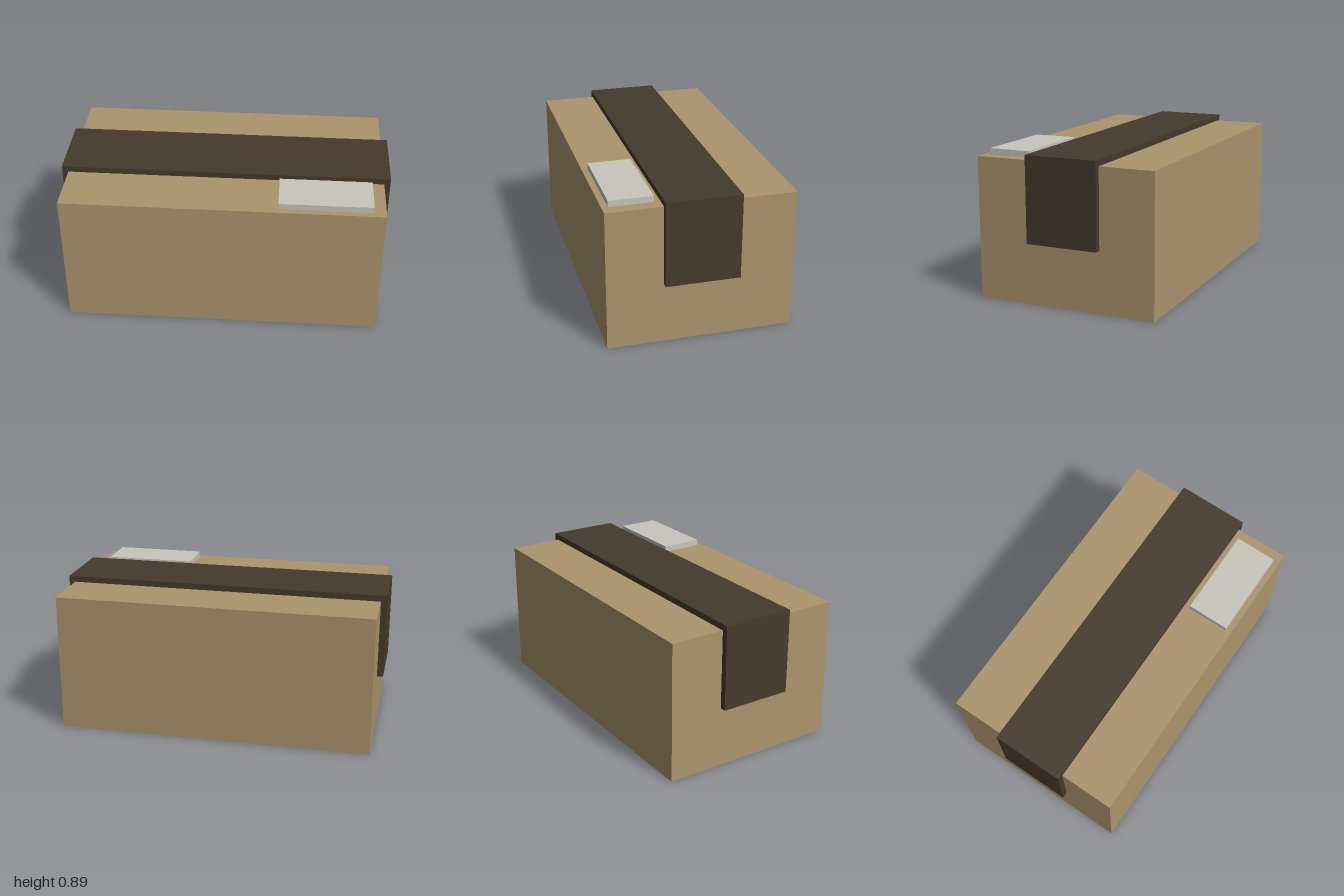
import * as THREE from 'three';

const mat = (name, color) => {
  const m = new THREE.MeshStandardMaterial({ color });
  m.name = name;
  return m;
};

export function createModel() {
  const model = new THREE.Group();
  model.name = 'parcel';
  const add = (name, geometry, material, x, y, z) => {
    const mesh = new THREE.Mesh(geometry, material);
    mesh.name = name;
    mesh.position.set(x, y, z);
    model.add(mesh);
  };

  const W = 0.963, H = 0.852, D = 0.556; // carton half width, height, half depth
  const T = 0.037;                       // thickness of tape and label
  const tapeDepth = 0.444, tapeBottom = 0.372;

  // Cardboard carton
  add('carton', new THREE.BoxGeometry(2 * W, H, 2 * D), mat('cardboard', 0xac956e), 0, H / 2, 0);

  // Tape strip over the top and part way down both ends
  const strip = new THREE.Shape([
    [-W - T, tapeBottom], [-W, tapeBottom], [-W, H], [W, H],
    [W, tapeBottom], [W + T, tapeBottom], [W + T, H + T], [-W - T, H + T],
  ].map(([x, y]) => new THREE.Vector2(x, y)));
  add('tape', new THREE.ExtrudeGeometry(strip, { depth: tapeDepth, bevelEnabled: false }),
    mat('dark brown tape', 0x463a2c), 0, 0, -tapeDepth / 2);

  // Shipping label on the top front corner
  add('label', new THREE.BoxGeometry(0.556, T, 0.26), mat('pale grey label', 0xc9c6bd),
    0.611, H + T / 2, 0.389);

  return model;
}
